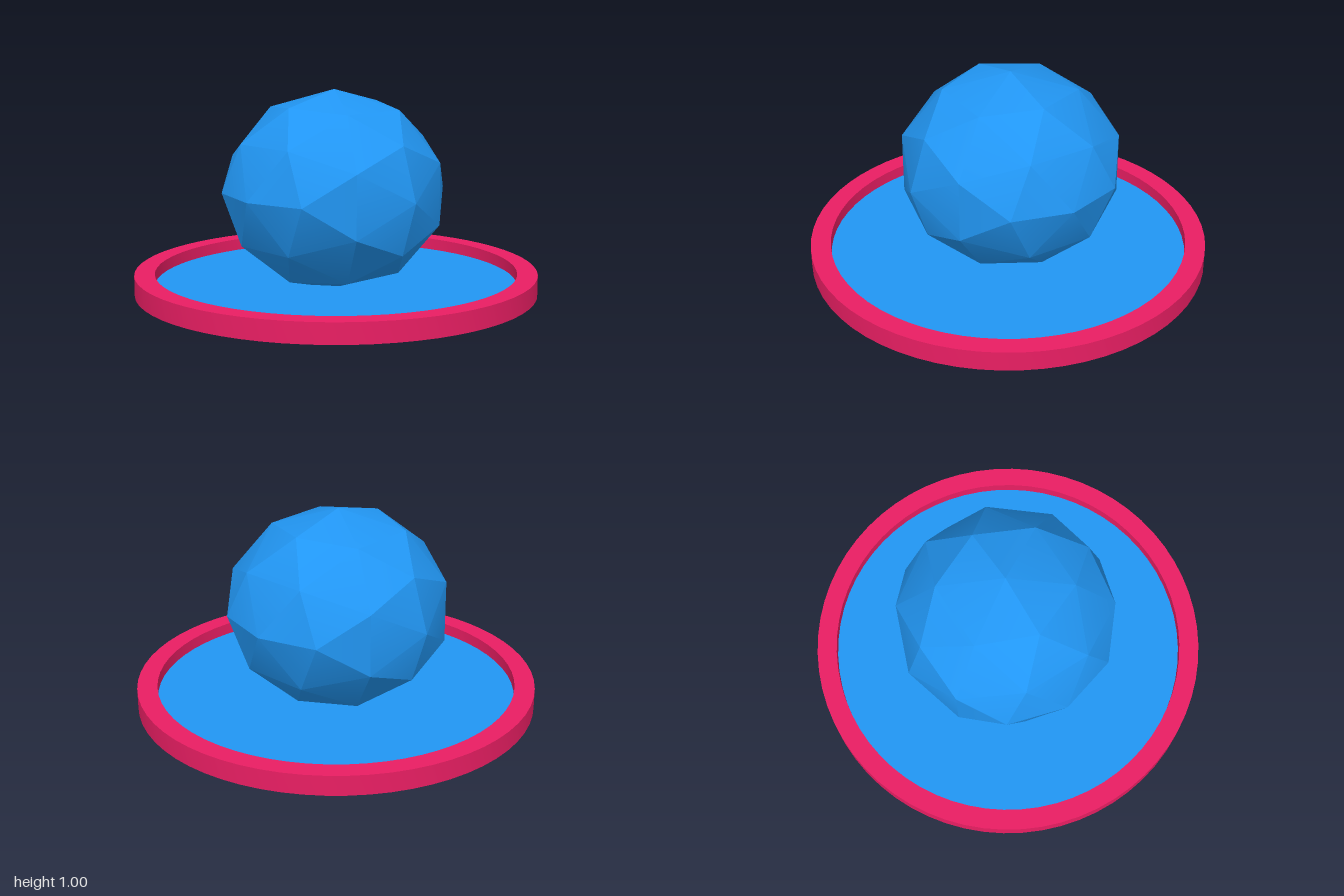
import * as THREE from 'three';
import { toCreasedNormals } from 'three/addons/utils/BufferGeometryUtils.js';

const SEGMENTS = 64;

export function createModel() {
  const model = new THREE.Group();
  const pink = new THREE.MeshStandardMaterial({ color: 0xe91e63 });
  const blue = new THREE.MeshStandardMaterial({ color: 0x2196f3 });

  const add = (name, geometry, material, x, y, z) => {
    const mesh = new THREE.Mesh(geometry, material);
    mesh.name = name;
    mesh.position.set(x, y, z);
    model.add(mesh);
  };

  // Shallow round tray with a raised rim and closed underside
  const profile = [[0, 0], [1, 0], [1, 0.1], [0.9, 0.1], [0.9, 0.02], [0, 0.02]]
    .map(([r, y]) => new THREE.Vector2(r, y));
  add('tray', toCreasedNormals(new THREE.LatheGeometry(profile, SEGMENTS), 0.5), pink, 0, 0, 0);

  // Flat disc filling the tray
  const disc = new THREE.CircleGeometry(0.9, SEGMENTS).rotateX(-Math.PI / 2);
  add('trayFloor', disc, blue, 0, 0.04, 0);

  // Faceted ball, slightly flattened, creased only along the sharper edges
  const ball = new THREE.IcosahedronGeometry(0.56, 1).rotateY(Math.PI / 2).scale(1, 0.893, 1);
  add('ball', toCreasedNormals(ball, THREE.MathUtils.degToRad(20)), blue, -0.014, 0.5, 0);

  return model;
}
